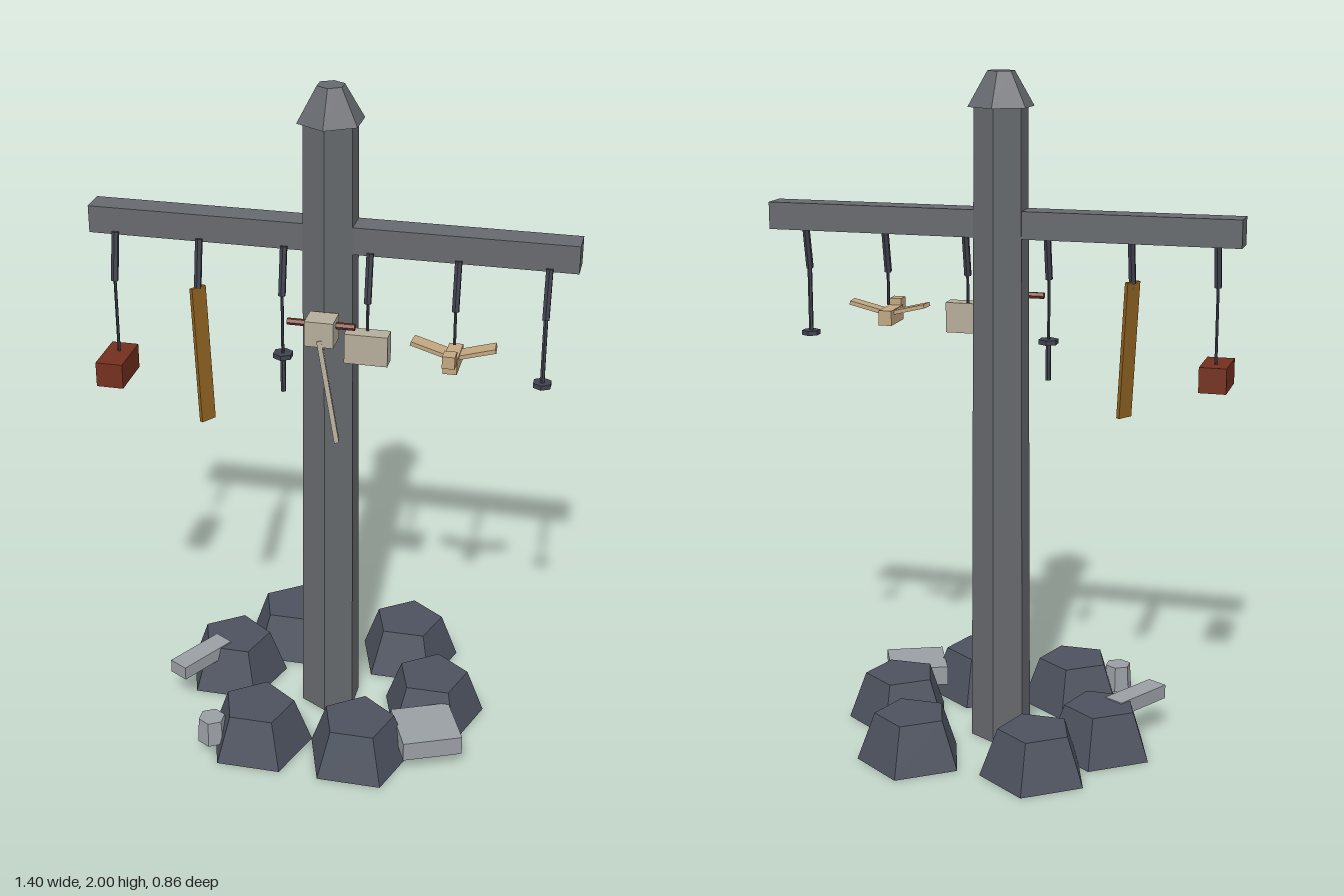
import * as THREE from 'three';

export function createModel() {
  const model = new THREE.Group();
  const mat = (color) => new THREE.MeshStandardMaterial({ color, flatShading: true });
  const stone = mat(0x66696d), rock = mat(0x4c525e), slab = mat(0x9a9fa5), iron = mat(0x40424e);
  const red = mat(0x74301f), wood = mat(0x8f6222), bone = mat(0xb5ad9b), tan = mat(0xc2a780);

  const add = (name, geometry, material, pos, rot = [0, 0, 0], parent = model) => {
    const mesh = new THREE.Mesh(geometry, material);
    mesh.name = name;
    mesh.position.set(...pos);
    mesh.rotation.set(...rot);
    parent.add(mesh);
    return mesh;
  };
  const box = (name, size, ...rest) => add(name, new THREE.BoxGeometry(...size), ...rest);
  const prism = (name, top, bottom, h, sides, ...rest) =>
    add(name, new THREE.CylinderGeometry(top, bottom, h, sides), ...rest);
  // thin prism between two points
  const rod = (name, a, b, r, material) => {
    const from = new THREE.Vector3(...a), to = new THREE.Vector3(...b);
    const mesh = prism(name, r, r, from.distanceTo(to), 6, material,
      from.clone().add(to).multiplyScalar(0.5).toArray());
    mesh.quaternion.setFromUnitVectors(new THREE.Vector3(0, 1, 0), to.sub(from).normalize());
  };

  // hexagonal post, cap and crossbar
  prism('post', 0.08, 0.092, 1.9, 6, stone, [0, 0.95, 0]);
  prism('postCap', 0.04, 0.098, 0.1, 6, stone, [0, 1.95, 0]);
  box('crossbar', [1.4, 0.08, 0.08], stone, [0, 1.57, 0]);

  // ring of five-sided base boulders
  const boulders = [[-0.18, -0.27], [0.2, -0.26], [-0.325, -0.05], [0.33, 0.025], [-0.16, 0.29], [0.15, 0.295]];
  for (const [x, z] of boulders) prism('boulder', 0.11, 0.163, 0.145, 5, rock, [x, 0.0725, z], [0, Math.PI, 0]);

  // loose offerings on the base
  box('longSlab', [0.2, 0.043, 0.065], slab, [-0.405, 0.127, 0.07], [0, 1.05, 0]);
  box('squareSlab', [0.18, 0.06, 0.175], slab, [0.348, 0.08, 0.232], [0, 0.41, 0]);
  prism('smallStone', 0.04, 0.045, 0.08, 6, slab, [-0.29, 0.075, 0.35]);

  // hooks along the bar, each with a cord down to its trinket
  const hooks = [[-0.62, 1.17], [-0.372, 1.38], [-0.125, 1.21], [0.122, 1.3], [0.37, 1.3], [0.62, 1.2]];
  for (const [x, end] of hooks) {
    rod('hook', [x, 1.54, 0.045], [x, 1.4, 0.072], 0.011, iron);
    rod('cord', [x, 1.41, 0.07], [x, end, 0.07], x > 0.6 ? 0.007 : 0.0045, iron);
  }

  // trinkets
  box('redBlock', [0.08, 0.075, 0.15], red, [-0.62, 1.14, 0.09]);

  const plank = new THREE.Group();
  plank.name = 'woodenPlank';
  plank.position.set(-0.36, 1.2, 0.085);
  plank.rotation.set(-0.06, 0, 0.06);
  model.add(plank);
  box('plankBoard', [0.05, 0.41, 0.012], wood, [0, 0, 0], [0, 0.98, 0], plank);

  prism('pendantDisc', 0.03, 0.03, 0.014, 6, iron, [-0.125, 1.216, 0.068]);
  prism('pendantRod', 0.008, 0.008, 0.11, 6, iron, [-0.125, 1.155, 0.068]);
  box('paleBlock', [0.125, 0.09, 0.05], bone, [0.125, 1.273, 0.085]);
  prism('weightDisc', 0.028, 0.028, 0.014, 6, iron, [0.62, 1.203, 0.068]);

  // carved bird with raised wings
  box('birdBody', [0.04, 0.045, 0.11], tan, [0.37, 1.265, 0.09]);
  box('birdHead', [0.036, 0.036, 0.04], tan, [0.37, 1.29, 0.153]);
  for (const s of [-1, 1])
    box('birdWing', [0.125, 0.012, 0.048], tan, [0.37 + s * 0.058, 1.288, 0.08], [0, s * 0.08, s * 0.25]);

  // central mallet charm on the post: head, crosspiece and hanging blade
  box('charmHead', [0.083, 0.075, 0.075], bone, [0, 1.328, 0.117]);
  rod('charmCrosspiece', [-0.1, 1.343, 0.112], [0.095, 1.343, 0.112], 0.01, red);
  const blade = new THREE.Group();
  blade.name = 'charmBlade';
  blade.position.set(0.022, 1.155, 0.138);
  blade.rotation.set(-0.06, 0, 0.18);
  model.add(blade);
  box('bladeBoard', [0.014, 0.31, 0.062], bone, [0, 0, 0], [0, 0.25, 0], blade);

  return model;
}
